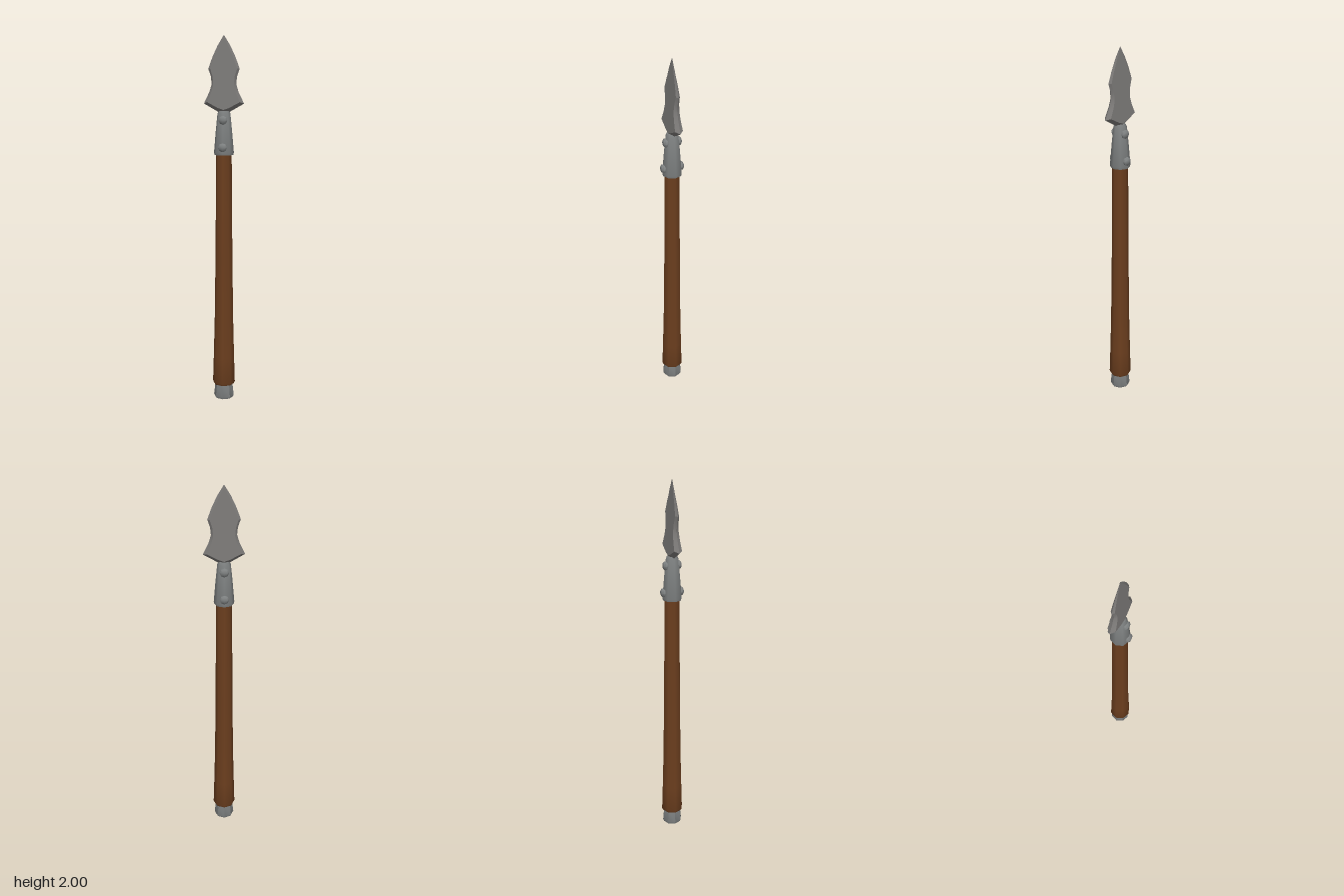
import * as THREE from 'three';
import { toCreasedNormals } from 'three/addons/utils/BufferGeometryUtils.js';

const wood = new THREE.MeshStandardMaterial({ color: 0x6b3e1e });
const steel = new THREE.MeshStandardMaterial({ color: 0x7c7a78 });
const iron = new THREE.MeshStandardMaterial({ color: 0x7d8080 });
wood.name = 'wood';
steel.name = 'blade steel';
iron.name = 'fitting iron';

// Octagonal turned part from [radius, y] pairs, bottom to top
function turned(name, profile, material, crease) {
  const points = profile.map(([r, y]) => new THREE.Vector2(r, y));
  const mesh = new THREE.Mesh(toCreasedNormals(new THREE.LatheGeometry(points, 8), crease), material);
  mesh.name = name;
  return mesh;
}

// Bevelled blade: sharp outer outline at z = 0, inset outline on two tapering faces
function bladeGeometry() {
  const outer = [[0, 2], [0.034, 1.945], [0.062, 1.885], [0.084, 1.825], [0.07, 1.785],
    [0.066, 1.745], [0.078, 1.705], [0.108, 1.643], [0.036, 1.602], [0, 1.585]];
  const inner = [[0, 1.985], [0.026, 1.938], [0.052, 1.88], [0.072, 1.825], [0.059, 1.785],
    [0.055, 1.742], [0.066, 1.7], [0.088, 1.651], [0.03, 1.62], [0, 1.61]];
  const positions = [];
  const half = (y) => 0.06 * (2 - y);
  for (const side of [1, -1]) {
    for (const face of [1, -1]) {
      const rim = outer.map(([x, y]) => [side * x, y, 0]);
      const flat = inner.map(([x, y]) => [side * x, y, face * half(y)]);
      const spine = inner.map(([, y]) => [0, y, face * half(y)]);
      const strip = (a, b) => {
        for (let i = 0; i < a.length - 1; i++) {
          const tris = [[a[i], a[i + 1], b[i + 1]], [a[i], b[i + 1], b[i]]];
          for (const t of tris) {
            if (side * face < 0) t.reverse();
            positions.push(...t.flat());
          }
        }
      };
      strip(spine, flat);
      strip(flat, rim);
    }
  }
  const geometry = new THREE.BufferGeometry();
  geometry.setAttribute('position', new THREE.Float32BufferAttribute(positions, 3));
  geometry.computeVertexNormals();
  return toCreasedNormals(geometry, 0.3);
}

export function createModel() {
  const spear = new THREE.Group();
  spear.name = 'spear';

  // Wooden shaft, flaring towards the butt
  spear.add(turned('shaft', [[0, 0.08], [0.057, 0.08], [0.062, 0.092], [0.0575, 0.24],
    [0.052, 0.45], [0.047, 0.8], [0.042, 1.39], [0, 1.39]], wood, 0.9));

  // Metal butt cap
  spear.add(turned('buttCap', [[0, 0], [0.051, 0], [0.056, 0.012], [0.048, 0.085], [0, 0.085]], iron, 0.5));

  // Tapered socket joining shaft and blade
  spear.add(turned('socket', [[0, 1.37], [0.051, 1.37], [0.054, 1.383], [0.044, 1.5],
    [0.035, 1.59], [0.028, 1.605], [0, 1.605]], iron, 0.9));

  // Two rivets on the front and two on the back
  for (const [y, z] of [[1.412, 0.042], [1.556, 0.029]]) {
    for (const face of [1, -1]) {
      const rivet = turned('rivet', [[0.023, 0], [0.024, 0.011], [0.016, 0.019], [0, 0.021]], iron, 0.9);
      rivet.rotation.x = face * Math.PI / 2;
      rivet.position.set(0, y, face * z);
      spear.add(rivet);
    }
  }

  // Spearhead
  const blade = new THREE.Mesh(bladeGeometry(), steel);
  blade.name = 'blade';
  spear.add(blade);

  return spear;
}
